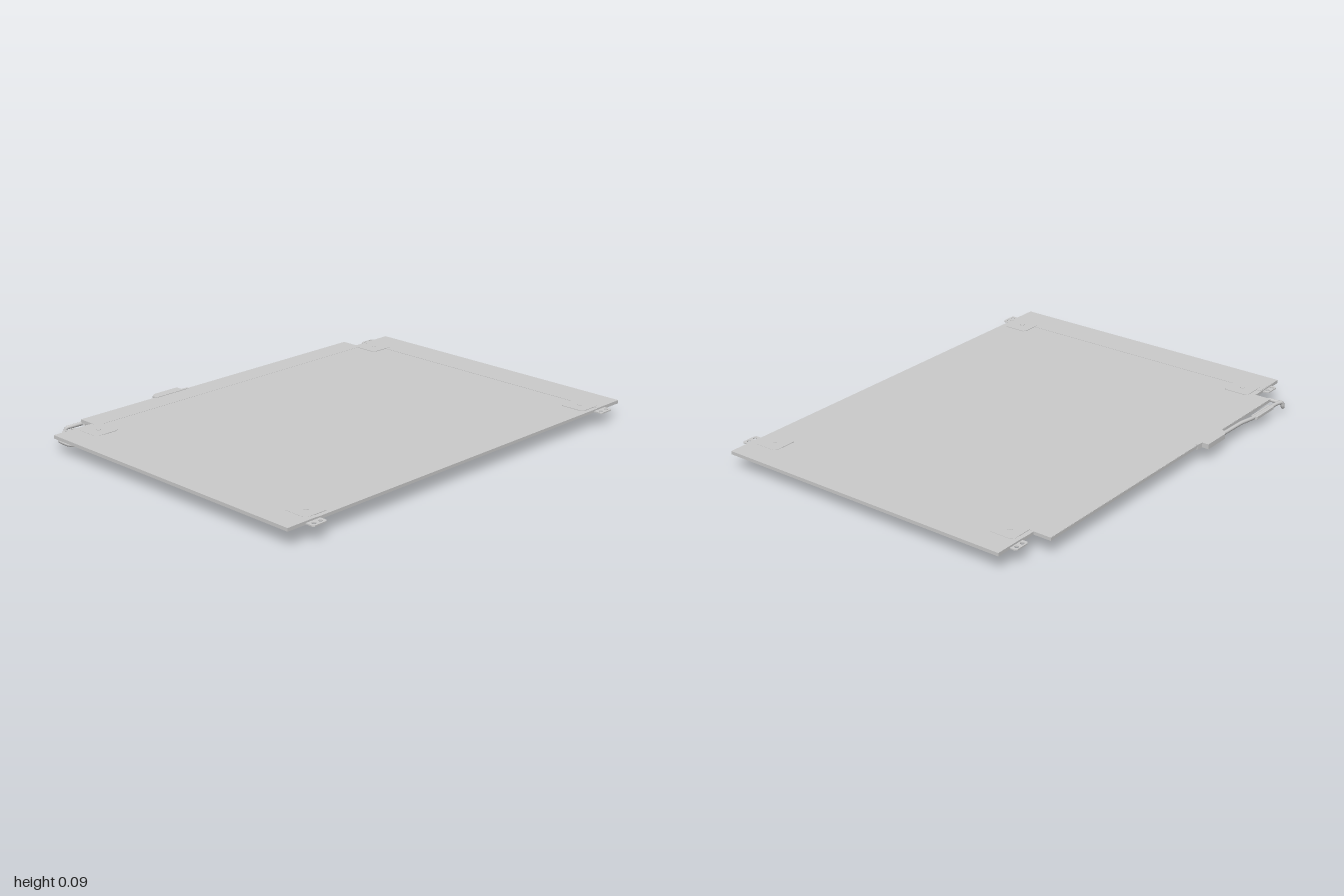
import * as THREE from 'three';

const grey = new THREE.MeshStandardMaterial({ color: 0xcccccc });

// Slab with an outline of [x, z] points, from height y0 to y1, with round holes [x, z, r]
function slab(name, points, y0, y1, holes = []) {
  const shape = new THREE.Shape(points.map(([x, z]) => new THREE.Vector2(x, -z)));
  for (const [x, z, r] of holes) {
    const hole = new THREE.Path();
    hole.absarc(x, -z, r, 0, Math.PI * 2, true);
    shape.holes.push(hole);
  }
  const geo = new THREE.ExtrudeGeometry(shape, { depth: y1 - y0, bevelEnabled: false, curveSegments: 8 });
  geo.rotateX(-Math.PI / 2).translate(0, y0, 0);
  const mesh = new THREE.Mesh(geo, grey);
  mesh.name = name;
  return mesh;
}

const rect = (x0, x1, z0, z1) => [[x0, z1], [x1, z1], [x1, z0], [x0, z0]];

// Rectangle with small chamfered corners
function chamfered(x0, x1, z0, z1, c) {
  return [[x0 + c, z1], [x1 - c, z1], [x1, z1 - c], [x1, z0 + c],
    [x1 - c, z0], [x0 + c, z0], [x0, z0 + c], [x0, z1 - c]];
}

// Rounded cable that follows straight runs with softened corners
function cable(name, points, radius) {
  const path = new THREE.CatmullRomCurve3(points.map(p => new THREE.Vector3(...p)), false, 'catmullrom', 0.25);
  const mesh = new THREE.Mesh(new THREE.TubeGeometry(path, 90, radius, 10), grey);
  mesh.name = name;
  return mesh;
}

export function createModel() {
  const model = new THREE.Group();
  model.name = 'displayPanel';

  // Main sheet, with the rear flange between the two corner notches
  model.add(slab('panel', [
    [-1, 0.73], [1, 0.73], [1, -0.66], [0.79, -0.66], [0.79, -0.74],
    [-0.8, -0.74], [-0.8, -0.665], [-1, -0.66],
  ], 0.068, 0.081));

  // Slightly raised strips along the sides and rear
  for (const s of [-1, 1]) {
    const [a, b] = s < 0 ? [-1, -0.85] : [0.85, 1];
    model.add(slab('sideStrip', rect(a, b, -0.66, 0.73), 0.08, 0.0825));
  }
  model.add(slab('rearStrip', rect(-0.8, 0.79, -0.739, -0.63), 0.08, 0.0818));

  // Corner pads with a screw on each
  for (const sx of [-1, 1]) {
    for (const z of [-0.58, 0.65]) {
      const x = sx * 0.83;
      model.add(slab('cornerPad', chamfered(x - 0.06, x + 0.06, z - 0.06, z + 0.06, 0.012), 0.08, 0.0835));
      const screw = new THREE.Mesh(new THREE.CylinderGeometry(0.01, 0.01, 0.002, 12), grey);
      screw.name = 'screw';
      screw.position.set(x, 0.0842, z);
      model.add(screw);
    }
  }

  // Thin mounting ears, each with two holes
  const ears = [
    [-0.872, 0.72, 0.77, 0.752], [0.863, 0.72, 0.77, 0.752],
    [-0.905, -0.69, -0.65, -0.675], [0.895, -0.69, -0.65, -0.675],
  ];
  for (const [x, z0, z1, hz] of ears) {
    model.add(slab('mountingEar', chamfered(x - 0.038, x + 0.038, z0, z1, 0.008), 0.07, 0.075,
      [[x - 0.017, hz, 0.009], [x + 0.017, hz, 0.009]]));
  }

  // Plug housing on the rear edge
  model.add(slab('plugHousing', [
    [-0.21, -0.73], [-0.21, -0.742], [-0.24, -0.745], [-0.24, -0.775],
    [-0.37, -0.775], [-0.395, -0.757], [-0.395, -0.73],
  ], 0.062, 0.084));

  // Cable along the rear edge, down and round to the underside
  model.add(cable('cable', [
    [-0.37, 0.068, -0.755], [-0.41, 0.066, -0.748], [-0.54, 0.064, -0.749], [-0.63, 0.057, -0.754],
    [-0.82, 0.055, -0.757], [-0.86, 0.052, -0.765], [-0.866, 0.03, -0.766],
    [-0.885, 0.019, -0.757], [-0.918, 0.017, -0.735], [-0.92, 0.017, -0.675],
    [-0.9, 0.016, -0.645], [-0.82, 0.014, -0.63], [-0.72, 0.01, -0.62],
  ], 0.0085));

  // Flat sleeve round the cable
  model.add(slab('cableSleeve', chamfered(-0.785, -0.635, -0.77, -0.74, 0.006), 0.049, 0.061));

  // Connector at the cable's end
  model.add(slab('connectorBody', rect(-0.74, -0.64, -0.645, -0.605), 0.004, 0.016));
  model.add(slab('connectorLip', rect(-0.735, -0.63, -0.61, -0.592), 0, 0.011));

  return model;
}
